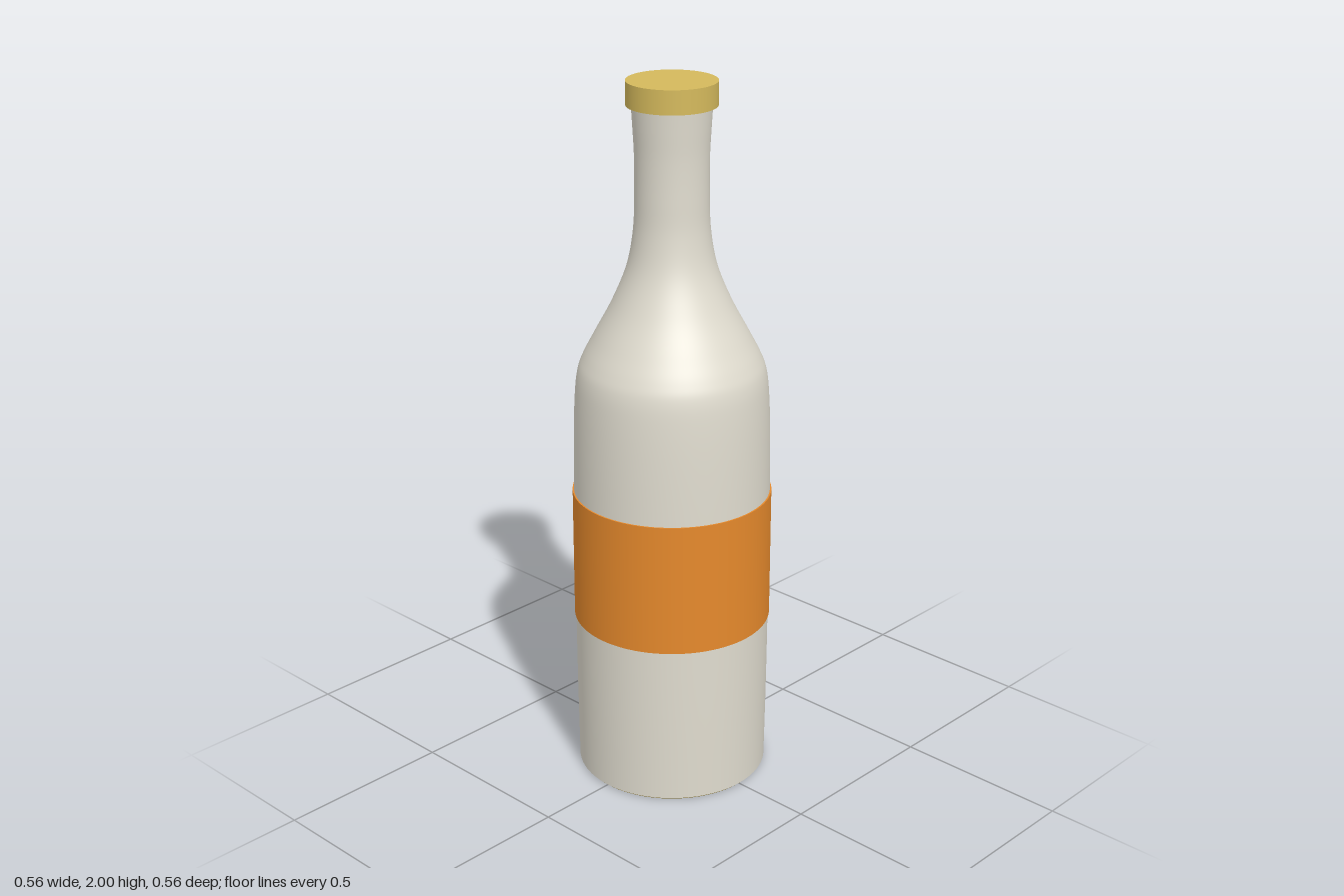
import * as THREE from 'three';

const SEGMENTS = 96;
const glass = new THREE.MeshStandardMaterial({ color: 0xe0dccf });
const gold = new THREE.MeshStandardMaterial({ color: 0xd4b95c });
const orange = new THREE.MeshStandardMaterial({ color: 0xe5892c });

// Revolve [radius, height] pairs, listed from the underside outwards and up
function turned(name, profile, material) {
  const points = profile.map(([r, y]) => new THREE.Vector2(r, y));
  const mesh = new THREE.Mesh(new THREE.LatheGeometry(points, SEGMENTS), material);
  mesh.name = name;
  return mesh;
}

export function createModel() {
  const bottle = new THREE.Group();
  bottle.name = 'bottle';

  // Body, shoulder and neck as one smooth curve
  const outline = new THREE.SplineCurve([
    [0.27, 0.004], [0.273, 0.25], [0.274, 0.5], [0.274, 0.8], [0.272, 1.0],
    [0.267, 1.13], [0.259, 1.2], [0.243, 1.245], [0.212, 1.305], [0.162, 1.4],
    [0.122, 1.5], [0.104, 1.6], [0.1, 1.7], [0.1, 1.8], [0.104, 1.88], [0.108, 1.945],
  ].map(([r, y]) => new THREE.Vector2(r, y)));
  const profile = outline.getPoints(90).map((p) => [p.x, p.y]);
  bottle.add(turned('body', profile, glass));

  // Underside: rim, recessed floor and centre mark
  bottle.add(turned('baseRim', [[0.256, 0.022], [0.262, 0], [0.266, 0], [0.27, 0.004]], gold));
  bottle.add(turned('baseFloor', [[0, 0.02], [0.256, 0.02]], glass));
  bottle.add(turned('baseMark', [[0.015, 0.017], [0.1, 0.017]], gold));

  // Label band with thin edges at both ends
  bottle.add(turned('label', [[0.278, 0.47], [0.278, 0.85]], orange));
  bottle.add(turned('labelLowerEdge', [[0.27, 0.47], [0.278, 0.47]], orange));
  bottle.add(turned('labelUpperEdge', [[0.278, 0.85], [0.27, 0.85]], orange));

  // Cap
  const cap = new THREE.Mesh(new THREE.CylinderGeometry(0.122, 0.122, 0.065, SEGMENTS), gold);
  cap.name = 'cap';
  cap.position.y = 1.9675;
  bottle.add(cap);

  return bottle;
}
